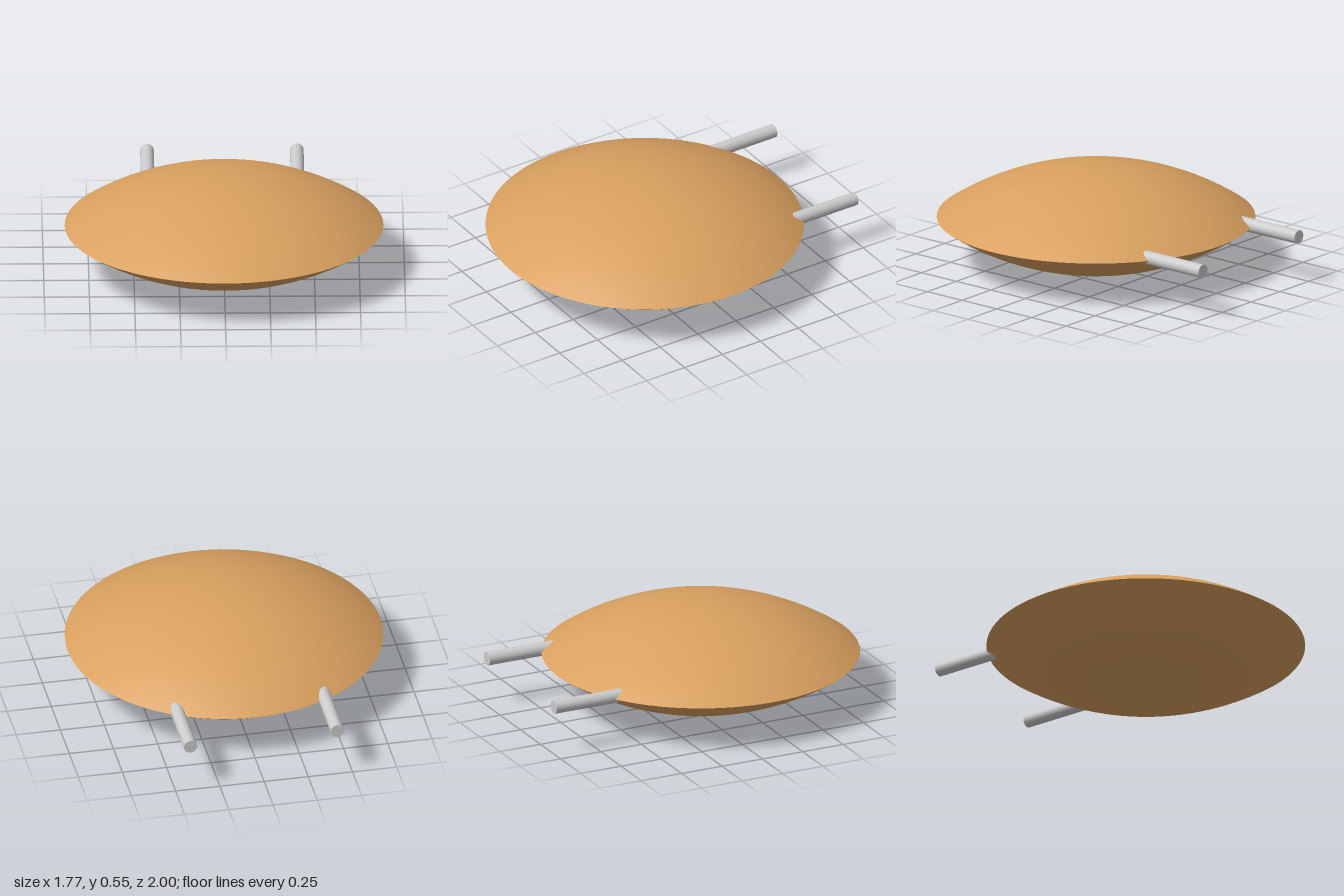
import * as THREE from 'three';

const RADIUS = 0.883, RISE = 0.275, MID_Y = 0.278, BODY_Z = 0.117;

// Spherical cap profile, listed from bottom to top so faces point outward
function capProfile(sign, steps = 24) {
  const R = (RADIUS ** 2 + RISE ** 2) / (2 * RISE);
  const maxAngle = Math.asin(RADIUS / R);
  const points = [];
  for (let i = 0; i <= steps; i++) {
    const a = maxAngle * i / steps;
    points.push(new THREE.Vector2(R * Math.sin(a), sign * (R * Math.cos(a) - R + RISE)));
  }
  return sign > 0 ? points.reverse() : points;
}

export function createModel() {
  const model = new THREE.Group();
  model.name = 'lensBodyWithPins';
  const tan = new THREE.MeshStandardMaterial({ color: 0xd9a05f });
  const grey = new THREE.MeshStandardMaterial({ color: 0xcccccc });

  // Lens-shaped body: two shallow domes meeting at a sharp rim
  for (const [name, sign] of [['upperShell', 1], ['lowerShell', -1]]) {
    const shell = new THREE.Mesh(new THREE.LatheGeometry(capProfile(sign), 96), tan);
    shell.name = name;
    shell.position.set(0, MID_Y, BODY_Z);
    model.add(shell);
  }

  // Two round pins reaching out of the back rim
  const pinBack = -1, pinFront = -0.55;
  const pinGeometry = new THREE.CylinderGeometry(0.038, 0.038, pinFront - pinBack, 32);
  pinGeometry.rotateX(Math.PI / 2);
  for (const [name, side] of [['leftPin', 1], ['rightPin', -1]]) {
    const pin = new THREE.Mesh(pinGeometry, grey);
    pin.name = name;
    pin.position.set(side * 0.415, MID_Y + 0.003, (pinBack + pinFront) / 2);
    model.add(pin);
  }
  return model;
}
